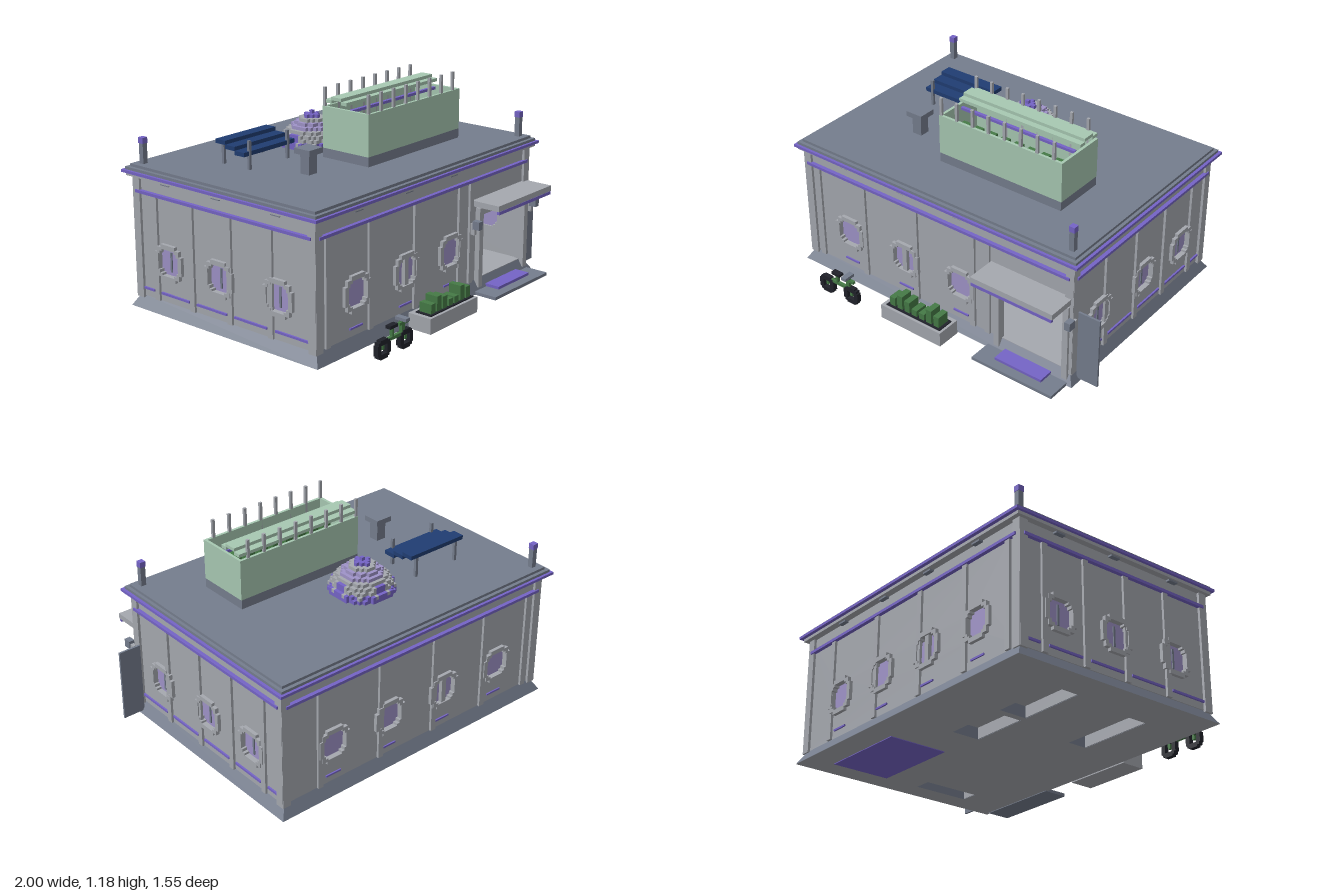
import * as THREE from 'three';
import { mergeGeometries } from 'three/addons/utils/BufferGeometryUtils.js';

const mat = (name, color) => {
  const m = new THREE.MeshStandardMaterial({ color });
  m.name = name;
  return m;
};

export function createModel() {
  const model = new THREE.Group();
  const grey = mat('wall grey', 0xa5a8af);
  const slate = mat('slate', 0x757d8d);
  const purple = mat('purple trim', 0x7564c6);
  const lavender = mat('lavender glass', 0x9f93c8);
  const mint = mat('mint panel', 0xa7c8b2);
  const green = mat('plant green', 0x457a46);
  const navy = mat('solar navy', 0x203d72);
  const black = mat('black', 0x20222a);

  const group = (name, parent = model) => {
    const g = new THREE.Group();
    g.name = name;
    parent.add(g);
    return g;
  };
  const add = (name, geo, m, parent = model) => {
    const mesh = new THREE.Mesh(geo, m);
    mesh.name = name;
    parent.add(mesh);
    return mesh;
  };
  // box given by its limits on each axis
  const box = (name, m, x0, x1, y0, y1, z0, z1, parent = model) => {
    const b = add(name, new THREE.BoxGeometry(x1 - x0, y1 - y0, z1 - z0), m, parent);
    b.position.set((x0 + x1) / 2, (y0 + y1) / 2, (z0 + z1) / 2);
    return b;
  };
  const rect = (P, x0, x1, y0, y1) => new P([[x0, y0], [x1, y0], [x1, y1], [x0, y1]].map(p => new THREE.Vector2(...p)));
  const extrude = (shape, depth) => new THREE.ExtrudeGeometry(shape, { depth, bevelEnabled: false });
  // stepped octagonal outline, built from one corner
  const outline = (P, r, a, b, ox = 0, oy = 0) => {
    const pts = [];
    for (let q = 0; q < 4; q++) for (const [x, y] of [[r, a], [b, a], [b, b], [a, b], [a, r]]) {
      const [s, t] = [[x, y], [-y, x], [-x, -y], [y, -x]][q];
      pts.push(new THREE.Vector2(s + ox, t + oy));
    }
    return new P(pts);
  };

  // foundation with sloping sides and recesses in its underside
  const recesses = [[0.66, 0.76, -0.03, 0.31], [-0.37, -0.03, -0.39, -0.22],
    [-0.8, -0.41, -0.39, -0.22], [-0.75, -0.3, 0.17, 0.29]];
  const slab = rect(THREE.Shape, -0.985, 0.89, -0.585, 0.755);
  slab.holes = recesses.map(([a, b, c, d]) => rect(THREE.Path, a, b, -d, -c));
  const slabGeo = extrude(slab, 0.066);
  const sp = slabGeo.attributes.position;
  for (let i = 0; i < sp.count; i++) {
    const x = sp.getX(i), y = sp.getY(i);
    if (sp.getZ(i) > 0.03 && (x > 0.88 || x < -0.98))
      sp.setXY(i, x - Math.sign(x) * 0.04, y - Math.sign(y) * 0.04);
  }
  slabGeo.computeVertexNormals();
  const foundation = add('foundation', slabGeo, [grey, slate]);
  foundation.rotation.x = -Math.PI / 2;
  foundation.position.y = 0.004;
  for (const [a, b, c, d] of recesses) {
    box('recessSide', grey, a, a + 0.004, 0.006, 0.07, c, d);
    box('recessSide', grey, a, b, 0.006, 0.07, d - 0.004, d);
  }
  box('undersideMat', purple, 0.22, 0.75, 0, 0.004, -0.6, -0.25);
  box('indoorFloor', grey, -0.94, 0.845, 0.07, 0.074, -0.71, 0.54);
  box('indoorMat', purple, 0.22, 0.75, 0.074, 0.08, -0.6, -0.25);

  const frameShape = outline(THREE.Shape, 0.1, 0.052, 0.082);
  frameShape.holes.push(outline(THREE.Path, 0.074, 0.045, 0.062));
  const frameGeo = extrude(frameShape, 0.02);

  // one wall: local x runs along it, local z points outwards
  const facade = (name, x, z, turn, u0, u1, windows, pilasters, { side, barred, door }) => {
    const g = group(name);
    g.position.set(x, 0, z);
    g.rotation.y = turn;
    const wall = rect(THREE.Shape, u0, u1, 0.07, 0.74);
    wall.holes = windows.map(u => outline(THREE.Path, 0.074, 0.045, 0.062, u, 0.3));
    if (door) wall.holes.push(rect(THREE.Path, door[0], door[1], 0.074, 0.46));
    add('wallPanel', extrude(wall, 0.03), grey, g).position.z = -0.03;
    box('upperStrip', purple, u0 + 0.012, u1 - 0.012, 0.65, 0.666, 0, 0.022, g);
    for (const u of [u0 + 0.012, u1 - 0.012])
      box('cornerPost', grey, u - 0.025, u + 0.025, 0.06, 0.74, -0.01, 0.015, g);
    for (const u of pilasters) box('pilaster', grey, u - 0.017, u + 0.017, 0.07, 0.65, 0, 0.014, g);
    windows.forEach((u, i) => {
      const w = group('window', g);
      w.position.set(u, 0.3, 0);
      add('windowFrame', frameGeo, grey, w);
      box('glass', lavender, -0.078, 0.078, -0.078, 0.078, -0.018, -0.01, w);
      if (side) box('glassBar', slate, -0.006, 0.006, -0.055, 0.055, -0.01, -0.004, w);
      if (barred === i) box('glassBar', grey, -0.015, 0.015, -0.075, 0.075, -0.01, 0.012, w);
      box('eaveBracket', slate, u - 0.03, u + 0.03, 0.728, 0.74, 0, 0.025, g);
      if (!side) box('lowStrip', purple, u - 0.05, u + 0.05, 0.11, 0.12, 0, 0.008, g);
    });
    if (side) {
      const edges = [u0, ...pilasters, u1].sort((a, b) => a - b);
      for (let i = 0; i < edges.length - 1; i++)
        box('lowStrip', purple, edges[i] + 0.028, edges[i + 1] - 0.028, 0.11, 0.122, 0, 0.01, g);
    }
  };
  const sideWin = [0.307, -0.104, -0.473], sidePil = [0.253, -0.03, -0.303, -0.57];
  const neg = a => a.map(v => -v);
  facade('frontWall', 0, 0.545, 0, -0.95, 0.855, [-0.65, -0.25, 0.135], [-0.87, -0.54, -0.17, 0.22, 0.32],
    { barred: 1, door: [0.4, 0.82] });
  facade('backWall', 0, -0.715, Math.PI, -0.855, 0.95, neg([-0.64, -0.24, 0.15, 0.53]), neg([-0.87, -0.54, -0.17, 0.21, 0.62]),
    { barred: 1 });
  facade('rightWall', 0.855, 0, Math.PI / 2, -0.545, 0.715, neg(sideWin), neg(sidePil), { side: true });
  facade('leftWall', -0.95, 0, -Math.PI / 2, -0.715, 0.545, sideWin, sidePil, { side: true });

  // layered roof edge
  box('eave', grey, -0.985, 0.89, 0.738, 0.755, -0.755, 0.58);
  box('corniceStrip', purple, -1, 0.907, 0.755, 0.77, -0.775, 0.595);
  box('roofStep', slate, -0.985, 0.89, 0.77, 0.785, -0.76, 0.58);
  box('roof', slate, -0.965, 0.872, 0.785, 0.8, -0.74, 0.56);

  // entrance
  const door = group('entrance');
  for (const x of [0.375, 0.815]) box('doorPost', grey, x, x + 0.035, 0.03, 0.46, 0.53, 0.575, door);
  box('doorLintel', grey, 0.375, 0.85, 0.45, 0.49, 0.53, 0.575, door);
  box('canopy', grey, 0.34, 0.855, 0.508, 0.54, 0.545, 0.72, door);
  box('canopyStrip', purple, 0.345, 0.85, 0.49, 0.508, 0.705, 0.722, door);
  box('step', slate, 0.34, 0.855, 0, 0.018, 0.57, 0.715, door);
  box('doormat', purple, 0.45, 0.75, 0.018, 0.034, 0.57, 0.66, door);
  box('openDoor', slate, 0.87, 1, 0.02, 0.44, 0.503, 0.515, door);
  for (const x of [0.32, 0.875]) {
    box('lampBody', slate, x - 0.017, x + 0.017, 0.39, 0.437, 0.575, 0.62, door);
    box('lampBracket', grey, x - 0.01, x + 0.01, 0.355, 0.42, 0.545, 0.585, door);
  }
  // furniture behind the doorway
  box('cabinet', purple, 0.41, 0.49, 0.08, 0.19, -0.5, -0.4);
  box('counter', grey, 0.405, 0.5, 0.19, 0.26, -0.52, -0.39);
  box('shelf', slate, 0.7, 0.79, 0.074, 0.37, -0.03, 0.31);

  // corner beacons
  for (const [x, z] of [[-0.915, -0.69], [0.822, 0.51]]) {
    box('beaconPost', slate, x - 0.015, x + 0.015, 0.8, 0.91, z - 0.015, z + 0.015);
    box('beaconLight', purple, x - 0.017, x + 0.017, 0.91, 0.942, z - 0.017, z + 0.017);
  }

  // greenhouse
  const gh = group('greenhouse');
  box('plinth', slate, -0.218, 0.576, 0.8, 0.853, -0.042, 0.272, gh);
  for (const z of [-0.042, 0.256]) box('longPanel', mint, -0.22, 0.578, 0.853, 1.082, z, z + 0.016, gh);
  for (const x of [-0.22, 0.562]) box('endPanel', mint, x, x + 0.016, 0.853, 1.082, -0.04, 0.27, gh);
  for (const [z0, z1, y] of [[0.077, 0.115, 1.1], [0.008, 0.079, 1.118], [-0.035, 0.01, 1.1]])
    box('roofSlat', mint, -0.21, 0.578, y, y + 0.018, z0, z1, gh);
  box('growLight', purple, -0.19, 0.55, 1.06, 1.075, 0.108, 0.127, gh);
  for (let i = 0; i < 8; i++) {
    const x = -0.21 + i * 0.1045, px = -0.143 + i * 0.0875;
    for (const z of [0.263, -0.033]) box('post', grey, x - 0.008, x + 0.008, 0.86, 1.185, z - 0.007, z + 0.007, gh);
    box('pot', black, px - 0.028, px + 0.028, 0.853, 0.9, 0.125, 0.215, gh);
    box('plant', green, px - 0.025, px + 0.025, 0.9, 1.0, 0.125, 0.208, gh);
  }

  // block dome: stacked rings of cubes narrowing upwards
  const s = 0.02, cells = { purple: [], lavender: [], grey: [] };
  const radii = [8.8, 8.6, 7.9, 7.3, 6.6, 5.5, 4.4, 3.4, 2.2, 0.9];
  const tint = (i, j, k) => {
    if (j >= 8 || j === 0) return 'purple';
    if (j === 5 || j === 6) return 'lavender';
    if (j === 4 || j === 7) return 'grey';
    return Math.abs(i) < 2 || Math.abs(k) < 2 || (j < 2 && (i + k) % 2) ? 'purple' : 'grey';
  };
  radii.forEach((r, j) => {
    for (let i = -8; i <= 8; i++) for (let k = -8; k <= 8; k++) {
      const d = Math.hypot(i, k);
      if (d <= r && d > (radii[j + 1] ?? 0) - 1.5)
        cells[tint(i, j, k)].push(new THREE.BoxGeometry(s, s, s).translate(i * s, (j + 0.5) * 0.019, k * s));
    }
  });
  const dome = group('dome');
  dome.position.set(-0.045, 0.8, -0.275);
  for (const [c, m] of Object.entries({ purple, lavender, grey })) add('domeBlocks', mergeGeometries(cells[c]), m, dome);

  // solar panel in three rising strips
  const solar = group('solarPanel');
  for (let i = 0; i < 3; i++)
    box('solarStrip', navy, -0.69, -0.305, 0.876 + i * 0.021, 0.899 + i * 0.021, -0.24 - i * 0.068, -0.17 - i * 0.068, solar);
  for (const x of [-0.645, -0.355]) {
    box('frontLeg', slate, x - 0.008, x + 0.008, 0.8, 0.955, -0.184, -0.168, solar);
    box('backLeg', slate, x - 0.008, x + 0.008, 0.8, 0.92, -0.37, -0.354, solar);
  }

  // roof vent
  box('ventPipe', slate, -0.53, -0.47, 0.8, 0.91, 0.075, 0.135);
  box('ventCap', slate, -0.552, -0.448, 0.908, 0.938, 0.053, 0.157);

  // planter
  const planter = group('planter');
  box('trough', grey, -0.275, 0.14, 0, 0.086, 0.59, 0.735, planter);
  box('soil', black, -0.25, 0.125, 0.086, 0.092, 0.618, 0.718, planter);
  [0.145, 0.175, 0.16, 0.13, 0.13, 0.175, 0.155].forEach((h, i) => {
    const x = -0.215 + i * 0.051;
    box('shrub', green, x - 0.018, x + 0.018, 0.09, h, 0.63, 0.706, planter);
  });

  // bicycle with blocky wheels
  const bike = group('bicycle');
  const tyre = outline(THREE.Shape, 0.051, 0.028, 0.042);
  tyre.holes.push(rect(THREE.Path, -0.024, 0.024, -0.024, 0.024));
  const tyreGeo = extrude(tyre, 0.028);
  for (const x of [-0.67, -0.49]) {
    add('wheel', tyreGeo, black, bike).position.set(x, 0.054, 0.72);
    box('fork', green, x - 0.008, x + 0.008, 0.05, 0.09, 0.725, 0.743, bike);
  }
  box('frame', green, -0.68, -0.48, 0.08, 0.097, 0.725, 0.743, bike);
  box('seatPost', green, -0.602, -0.588, 0.09, 0.145, 0.725, 0.743, bike);
  box('seat', black, -0.625, -0.565, 0.143, 0.16, 0.718, 0.75, bike);
  box('steeringPost', green, -0.525, -0.5, 0.08, 0.16, 0.725, 0.743, bike);
  box('headTube', green, -0.54, -0.47, 0.135, 0.15, 0.725, 0.743, bike);
  box('handlebar', slate, -0.531, -0.498, 0.158, 0.175, 0.702, 0.772, bike);

  return model;
}
